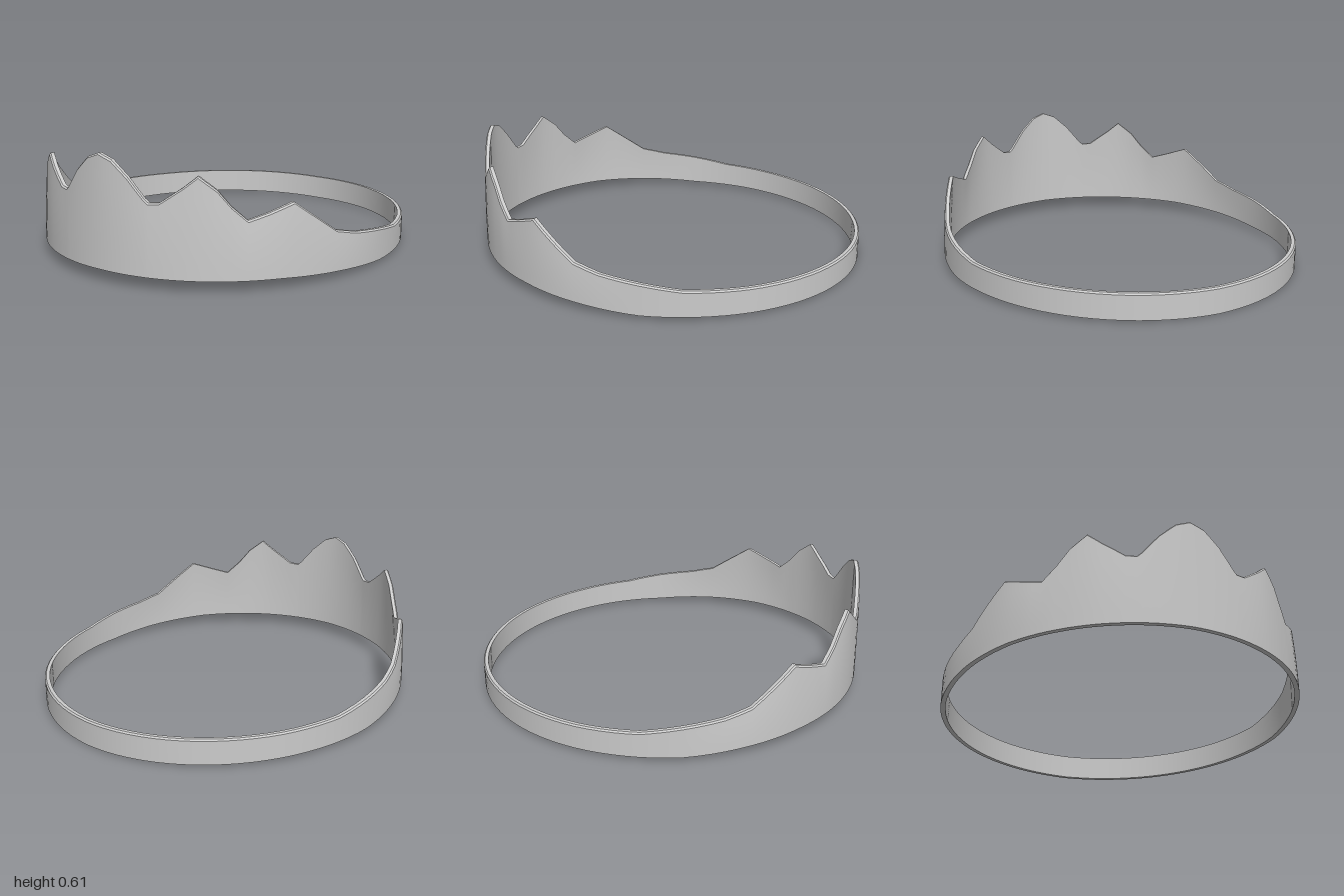
import * as THREE from 'three';

const RX = 0.92, RZ = 1, THICK = 0.025;

// Half outlines as [angle from the front, height]; mirrored to the other side
const TOP = [
  [0, 0.615], [0.076, 0.59], [0.164, 0.52], [0.253, 0.425], [0.275, 0.408], [0.332, 0.412],
  [0.45, 0.485], [0.524, 0.538], [0.614, 0.475], [0.682, 0.4], [0.762, 0.333], [0.865, 0.362],
  [0.992, 0.403], [1.234, 0.24], [1.369, 0.208], [1.571, 0.182], [1.772, 0.153],
  [2.094, 0.145], [Math.PI, 0.133],
];
const BOTTOM = [[0, 0.065], [0.93, 0.055], [1.27, 0.04], [1.571, 0.022], [1.88, 0.02], [Math.PI, 0.003]];

function heightAt(keys, a) {
  let i = 1;
  while (i < keys.length - 1 && a > keys[i][0]) i++;
  const [a0, y0] = keys[i - 1], [a1, y1] = keys[i];
  return y0 + (y1 - y0) * (a - a0) / (a1 - a0);
}

// Column angles hit every key of the outline, with extra columns in between
function columnAngles() {
  const half = [];
  for (let i = 1; i < TOP.length; i++) {
    const a0 = TOP[i - 1][0], a1 = TOP[i][0];
    const n = Math.ceil((a1 - a0) / 0.07);
    for (let k = 0; k < n; k++) half.push(a0 + (a1 - a0) * k / n);
  }
  return [...half, Math.PI, ...half.slice(1).reverse().map((a) => -a)];
}

// Point on the band at angle a, inset from the outer face, at height y
function bandPoint(a, inset, y, t) {
  const lean = 0.014 * Math.max(0, Math.sin(2 * Math.abs(a))) * t * t;
  const d = inset + (Math.abs(a) < Math.PI / 2 ? lean : 0);
  return [(RX - d) * Math.sin(a), y, (RZ - d) * Math.cos(a)];
}

// One closed strip round the head; section(a) returns its rows in order
function strip(name, section, material) {
  const angles = columnAngles(), pos = [], index = [];
  const rows = section(0).length, cols = angles.length;
  for (const a of angles) for (const p of section(a)) pos.push(...p);
  for (let i = 0; i < cols; i++) {
    const j = (i + 1) % cols;
    for (let r = 0; r < rows - 1; r++) {
      const A = i * rows + r, B = j * rows + r;
      index.push(A, B, B + 1, A, B + 1, A + 1);
    }
  }
  const geo = new THREE.BufferGeometry();
  geo.setAttribute('position', new THREE.Float32BufferAttribute(pos, 3));
  geo.setIndex(index);
  geo.computeVertexNormals();
  const mesh = new THREE.Mesh(geo, material);
  mesh.name = name;
  return mesh;
}

export function createModel() {
  const group = new THREE.Group();
  group.name = 'tiara';
  const material = new THREE.MeshStandardMaterial({ color: 0xcccccc });
  const ROWS = 6, BEVEL = 0.008;

  // Wall rows from bottom to top
  const wall = (a, inset, drop) => Array.from({ length: ROWS + 1 }, (_, r) => {
    const t = r / ROWS, u = Math.abs(a);
    const y0 = heightAt(BOTTOM, u), y1 = heightAt(TOP, u) - drop;
    return bandPoint(a, inset, y0 + (y1 - y0) * t, t);
  });
  const outer = (a) => wall(a, 0, BEVEL);
  const inner = (a) => wall(a, THICK, 0).reverse();
  const crest = (a) => bandPoint(a, 0.007, heightAt(TOP, Math.abs(a)), 1);

  group.add(
    strip('outerWall', outer, material),
    strip('rimBevel', (a) => [outer(a)[ROWS], crest(a)], material),
    strip('topRim', (a) => [crest(a), inner(a)[0]], material),
    strip('innerWall', inner, material),
    strip('bottomRim', (a) => [inner(a)[ROWS], outer(a)[0]], material),
  );
  return group;
}
